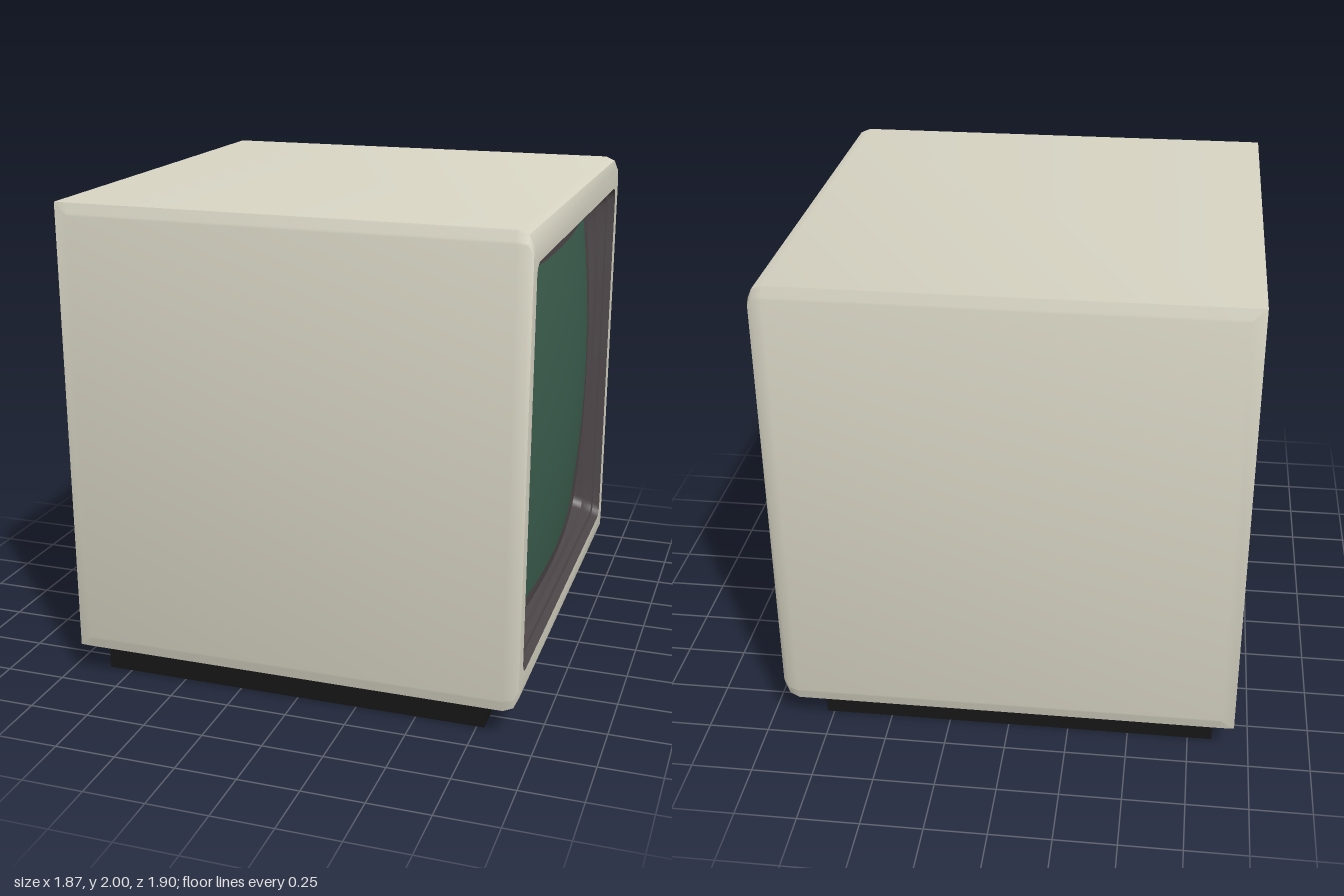
import * as THREE from 'three';
import { toCreasedNormals } from 'three/addons/utils/BufferGeometryUtils.js';

const MID = 1.0675; // height of the cabinet's centre line

// Loop in a plane of constant x (counter-clockwise seen from +x). Corners are cut by
// rz by ry, either rounded or chamfered; xAt may bend the loop out of its plane.
function ring(xAt, w, h, rz, ry, { round = false, sub = 1, seg = 5 } = {}) {
  const pts = [];
  const corners = [[1, 1], [-1, 1], [-1, -1], [1, -1]];
  corners.forEach(([su, sv], k) => {
    for (let i = 0; i <= seg; i++) {
      const t = k % 2 ? 1 - i / seg : i / seg;
      const a = t * Math.PI / 2;
      const du = round ? Math.cos(a) : 1 - t;
      const dv = round ? Math.sin(a) : t;
      pts.push([su * (w - rz + rz * du), sv * (h - ry + ry * dv)]);
    }
    // points along the straight edge to the next corner
    const last = pts[pts.length - 1];
    const [nu, nv] = corners[(k + 1) % 4];
    const next = k % 2 ? [nu * w, nv * (h - ry)] : [nu * (w - rz), nv * h];
    const end = k % 2 === 0 ? [nu * (w - rz), nv * h] : next;
    for (let i = 1; i < sub; i++) {
      const t = i / sub;
      pts.push([last[0] + (end[0] - last[0]) * t, last[1] + (end[1] - last[1]) * t]);
    }
  });
  return pts.map(([u, v]) => [typeof xAt === 'function' ? xAt(u, v) : xAt, MID + v, -u]);
}

// Skin over a list of loops with equal point counts
function loft(loops, crease) {
  const n = loops[0].length;
  const index = [];
  for (let i = 0; i < loops.length - 1; i++) {
    for (let j = 0; j < n; j++) {
      const a = i * n + j, b = i * n + (j + 1) % n;
      index.push(a, b, b + n, a, b + n, a + n);
    }
  }
  const geo = new THREE.BufferGeometry();
  geo.setAttribute('position', new THREE.Float32BufferAttribute(loops.flat(2), 3));
  geo.setIndex(index);
  return toCreasedNormals(geo, crease);
}

function part(name, geometry, color) {
  const mesh = new THREE.Mesh(geometry, new THREE.MeshStandardMaterial({ color }));
  mesh.name = name;
  return mesh;
}

export function createModel() {
  const group = new THREE.Group();
  group.name = 'monitor';

  // Cabinet: closed back, slightly bulged sides, eased front edge, front frame
  const cabinet = loft([
    ring(-0.935, 0, 0, 0, 0),
    ring(-0.935, 0.935, 0.9325, 0, 0),
    ring(-0.88, 0.95, 0.9325, 0.013, 0.05),
    ring(0.87, 0.95, 0.9325, 0.013, 0.05),
    ring(0.91, 0.943, 0.917, 0.012, 0.04),
    ring(0.93, 0.935, 0.873, 0.012, 0.03),
    ring(0.93, 0.87, 0.803, 0.05, 0.05, { round: true }),
  ], 0.75);
  group.add(part('cabinet', cabinet, 0xd8d5c4));

  // Domed glass, deepest at its corners
  const dome = (u, v) => 0.9 - 0.05 * (u / 0.76) ** 2 - 0.045 * (v / 0.695) ** 2;

  // Stepped surround: [inset, depth, how far it follows the dome]
  const steps = [
    [0, 0, 0], [0.012, 0.03, 0], [0.025, 0.035, 0], [0.035, 0.058, 0],
    [0.05, 0.062, 0.2], [0.06, 0.07, 0.75], [0.11, 0.08, 1],
  ];
  const surround = loft(steps.map(([inset, depth, follow]) => ring(
    (u, v) => THREE.MathUtils.lerp(0.93 - depth, dome(u, v), follow),
    0.87 - inset, 0.803 - inset, 0.05, 0.05, { round: true, sub: 10 },
  )), 0.4);
  group.add(part('screenSurround', surround, 0x4c4548));

  // Screen
  const loops = [];
  for (let i = 8; i >= 0; i--) {
    const s = i / 8;
    loops.push(ring(dome, 0.76 * s, 0.693 * s, 0.05 * s, 0.05 * s, { round: true, sub: 10 }));
  }
  group.add(part('screen', loft(loops, 0.6), 0x3d6050));

  // Plinth
  const plinth = part('plinth', new THREE.BoxGeometry(1.63, 0.14, 1.7), 0x161616);
  plinth.position.set(-0.035, 0.07, 0);
  group.add(plinth);

  return group;
}
